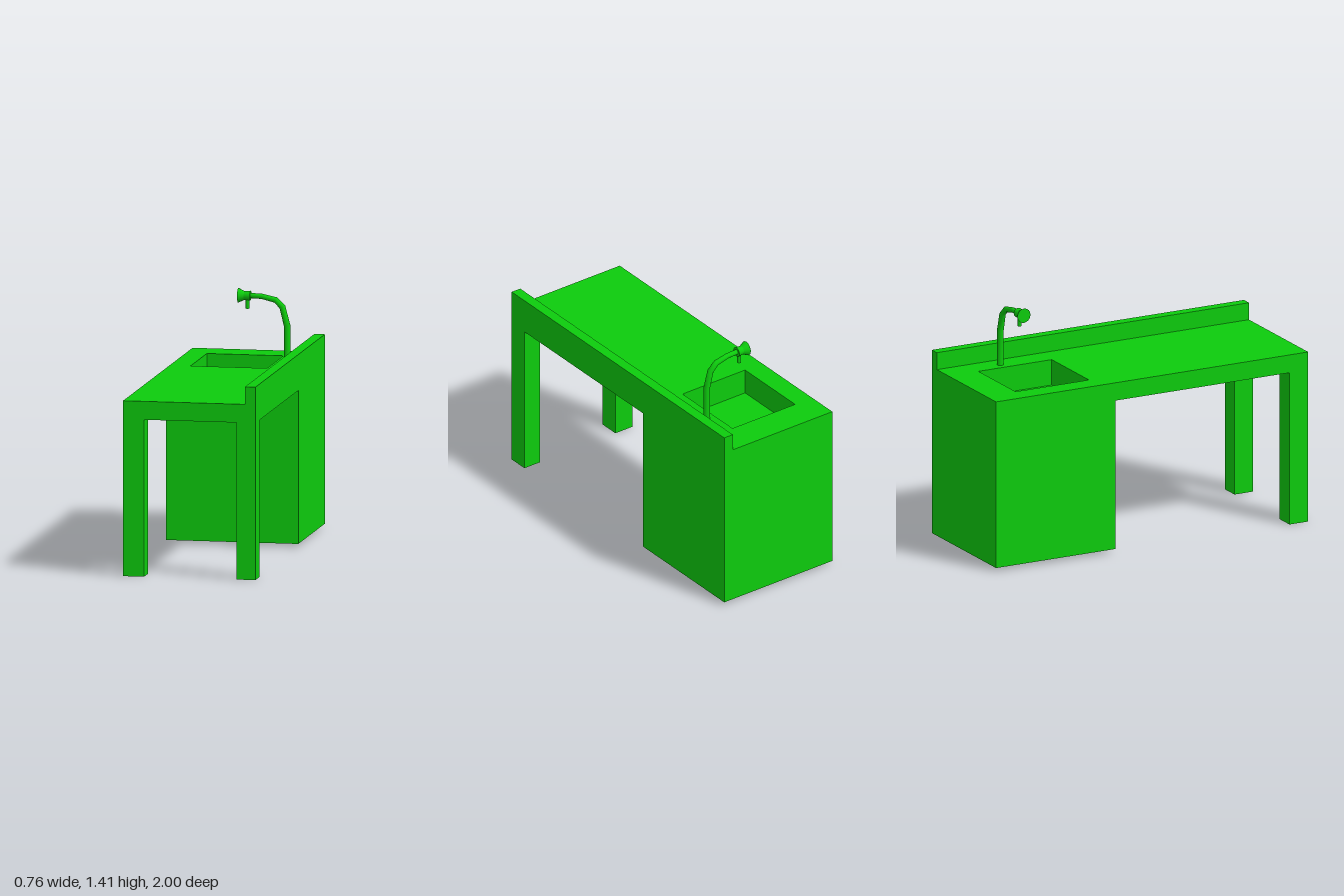
import * as THREE from 'three';

const material = new THREE.MeshStandardMaterial({ color: 0x0dcc0d });

function add(group, name, geometry) {
  const mesh = new THREE.Mesh(geometry, material);
  mesh.name = name;
  group.add(mesh);
  return mesh;
}

// Box given by its extents on each axis
function box([x0, x1], [y0, y1], [z0, z1]) {
  return new THREE.BoxGeometry(x1 - x0, y1 - y0, z1 - z0)
    .translate((x0 + x1) / 2, (y0 + y1) / 2, (z0 + z1) / 2);
}

// Horizontal plate with the sink opening cut through it
function plateWithOpening([x0, x1], [y0, y1], [z0, z1], sink) {
  const corners = (a, b, c, d) => [[a, c], [b, c], [b, d], [a, d]].map(p => new THREE.Vector2(...p));
  const shape = new THREE.Shape(corners(x0, x1, -z1, -z0));
  shape.holes.push(new THREE.Path(corners(sink.x[0], sink.x[1], -sink.z[1], -sink.z[0])));
  return new THREE.ExtrudeGeometry(shape, { depth: y1 - y0, bevelEnabled: false })
    .rotateX(-Math.PI / 2).translate(0, y0, 0);
}

// Tapered pipe in the xy plane; rows are [x, y, radius], joints are mitred
function bentPipe(rows, sides) {
  const positions = [], index = [];
  rows.forEach(([x, y, r], i) => {
    const a = rows[Math.max(i - 1, 0)], b = rows[Math.min(i + 1, rows.length - 1)];
    const t = new THREE.Vector2(b[0] - a[0], b[1] - a[1]).normalize();
    for (let j = 0; j < sides; j++) {
      const angle = j / sides * Math.PI * 2;
      const u = Math.cos(angle) * r;
      positions.push(x - t.y * u, y + t.x * u, Math.sin(angle) * r);
      if (i === 0) continue;
      const k = (j + 1) % sides, p = (i - 1) * sides, q = i * sides;
      index.push(p + j, p + k, q + k, p + j, q + k, q + j);
    }
  });
  const geometry = new THREE.BufferGeometry();
  geometry.setAttribute('position', new THREE.Float32BufferAttribute(positions, 3));
  geometry.setIndex(index);
  geometry.computeVertexNormals();
  return geometry;
}

export function createModel() {
  const model = new THREE.Group();
  model.name = 'sinkCounter';

  const width = [-0.38, 0.38];
  const cabinetZ = [-1, -0.235];
  const sink = { x: [-0.26, 0.18], z: [-0.81, -0.34], floor: 0.85 };

  // Worktop and its raised edge
  add(model, 'worktop', plateWithOpening(width, [0.895, 1], [-1, 1], sink));
  add(model, 'splashback', box([0.32, 0.38], [1, 1.1], [-1, 1]));

  // Cabinet: its top face is the basin floor, the rim surrounds the basin
  add(model, 'cabinet', box(width, [0.02, sink.floor], cabinetZ));
  add(model, 'basinRim', plateWithOpening(width, [sink.floor, 0.895], cabinetZ, sink));

  // Front legs
  add(model, 'rightLeg', box([-0.38, -0.26], [0, 0.895], [0.88, 1]));
  add(model, 'leftLeg', box([0.27, 0.38], [0, 0.895], [0.88, 1]));

  // Tap: curved neck, flared head along x, and a short spout
  const tap = new THREE.Group();
  tap.name = 'tap';
  tap.position.z = -0.64;
  model.add(tap);
  add(tap, 'neck', bentPipe([
    [0.235, 0.99, 0.019], [0.235, 1.2, 0.019], [0.208, 1.305, 0.018],
    [0.168, 1.344, 0.017], [0.09, 1.362, 0.015], [0.01, 1.365, 0.015],
  ], 12));

  const head = new THREE.Group();
  head.name = 'head';
  head.position.y = 1.364;
  tap.add(head);
  const flare = new THREE.CylinderGeometry(0.022, 0.042, 0.04, 16).rotateZ(-Math.PI / 2);
  add(head, 'flare', flare.translate(-0.025, 0, 0));
  const collar = new THREE.CylinderGeometry(0.028, 0.025, 0.035, 16).rotateZ(-Math.PI / 2);
  add(head, 'collar', collar.translate(0.0075, 0, 0));
  add(head, 'spout', new THREE.CylinderGeometry(0.011, 0.011, 0.06, 12).translate(0.007, -0.044, 0));

  return model;
}
